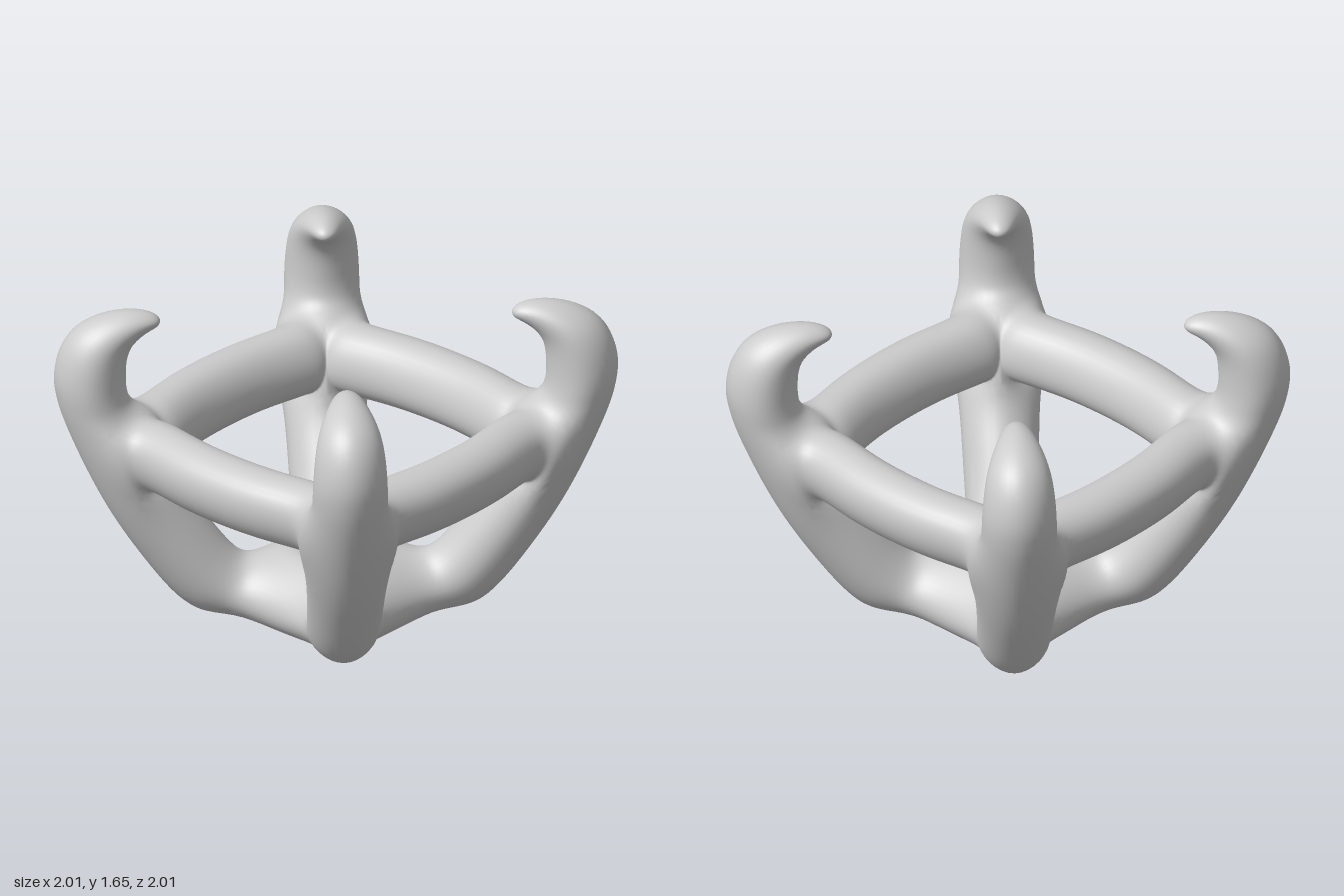
import * as THREE from 'three';

// Prong cross-sections from the base to the tip, in the diagonal plane x = z:
// [outer d, outer y, inner d, inner y, half width across]
const SECTIONS = [
  [0.38, -0.035, 0.23, 0.38, 0.25],
  [0.54, -0.05, 0.29, 0.38, 0.26],
  [0.715, 0.28, 0.385, 0.58, 0.275],
  [0.855, 0.60, 0.505, 0.78, 0.295],
  [0.985, 1.03, 0.62, 1.13, 0.27],
  [1.01, 1.18, 0.655, 1.20, 0.27],
  [1.03, 1.34, 0.655, 1.29, 0.265],
  [0.96, 1.60, 0.66, 1.42, 0.235],
  [0.72, 1.69, 0.625, 1.50, 0.125],
  [0.585, 1.62, 0.60, 1.54, 0.055],
];
const BAR = 3; // bars leave the prongs between sections 3 and 4
const BAR_BOW = [[0.54, 0.695], [0.27, 0.757], [0, 0.77], [-0.27, 0.757], [-0.54, 0.695]];
const [OUTER, SIDE_A, INNER, SIDE_C] = [0, 1, 2, 3];

// Coarse quad cage; each face is { v: four vertex indices, part }
function buildCage() {
  const verts = [], faces = [];
  const add = (x, y, z, turn) => {
    for (let i = 0; i < turn; i++) [x, z] = [z, -x];
    return verts.push(new THREE.Vector3(x, y, z)) - 1;
  };
  const quad = (part, ...v) => faces.push({ part, v });
  const bridge = (part, r, s, skip = []) => {
    for (let i = 0; i < 4; i++) {
      const j = (i + 1) % 4;
      if (!skip.includes(i)) quad(part, r[i], r[j], s[j], s[i]);
    }
  };

  // Four prongs, leaving openings on the inner sides for the bars
  const prongs = [0, 1, 2, 3].map((turn) => {
    const rings = SECTIONS.map(([od, oy, id, iy, w]) => {
      const d = (od + id) / 2, y = (oy + iy) / 2, a = w * Math.SQRT1_2;
      return [
        add(od, oy, od, turn), add(d + a, y, d - a, turn),
        add(id, iy, id, turn), add(d - a, y, d + a, turn),
      ];
    });
    for (let k = 0; k + 1 < rings.length; k++) {
      bridge('prongs', rings[k], rings[k + 1], k === BAR ? [SIDE_A, INNER] : []);
    }
    quad('prongs', ...rings[rings.length - 1]);
    return rings;
  });

  // Flat middles of the base plate
  const top = prongs.map((_, turn) => add(0.15, 0.32, 0.15, turn));
  const under = prongs.map((_, turn) => add(0.15, 0.01, 0.15, turn));
  quad('base', ...top);
  quad('base', ...[...under].reverse());

  prongs.forEach((p, turn) => {
    const next = (turn + 1) % 4, n = prongs[next];

    // Bowed bar to the next prong, its section leaning outward at the top
    const opening = (rings, side) => [
      rings[BAR][side], rings[BAR][INNER], rings[BAR + 1][INNER], rings[BAR + 1][side],
    ];
    const lean = 0.3, c = Math.cos(lean), s = Math.sin(lean);
    const middle = BAR_BOW.map(([along, out]) =>
      [[1, -1], [-1, -1], [-1, 1], [1, 1]].map(([u, v]) =>
        add(out + 0.165 * u * c + 0.19 * v * s, 0.925 - 0.165 * u * s + 0.19 * v * c, along, turn)));
    const loops = [opening(p, SIDE_A), ...middle, opening(n, SIDE_C)];
    for (let k = 0; k + 1 < loops.length; k++) bridge('ringBars', loops[k], loops[k + 1]);

    // Underside, side and top of the base plate
    quad('base', n[0][OUTER], p[0][OUTER], under[turn], under[next]);
    quad('base', p[0][OUTER], n[0][OUTER], n[0][SIDE_C], p[0][SIDE_A]);
    quad('base', p[0][SIDE_A], n[0][SIDE_C], n[0][INNER], p[0][INNER]);
    quad('base', p[0][INNER], n[0][INNER], top[next], top[turn]);
  });
  return { verts, faces };
}

const average = (points) =>
  points.reduce((sum, p) => sum.add(p), new THREE.Vector3()).divideScalar(points.length);

// One Catmull-Clark smoothing step on a closed quad mesh
function subdivide({ verts, faces }) {
  const edges = new Map();
  const around = verts.map(() => ({ centres: [], mids: [] }));
  const key = (a, b) => (a < b ? `${a}_${b}` : `${b}_${a}`);
  const centres = faces.map(({ v }) => average(v.map((i) => verts[i])));

  faces.forEach(({ v }, f) => v.forEach((a, i) => {
    const b = v[(i + 1) % 4], k = key(a, b);
    around[a].centres.push(centres[f]);
    if (!edges.has(k)) {
      const mid = average([verts[a], verts[b]]);
      edges.set(k, { a, b, centres: [] });
      around[a].mids.push(mid);
      around[b].mids.push(mid);
    }
    edges.get(k).centres.push(centres[f]);
  }));

  const out = verts.map((p, i) => {
    const n = around[i].mids.length;
    return average(around[i].centres)
      .addScaledVector(average(around[i].mids), 2)
      .addScaledVector(p, n - 3)
      .divideScalar(n);
  });
  for (const e of edges.values()) {
    e.index = out.push(average([verts[e.a], verts[e.b], ...e.centres])) - 1;
  }
  const next = [];
  faces.forEach(({ v, part }, f) => {
    const centre = out.push(centres[f]) - 1;
    v.forEach((a, i) => {
      const after = edges.get(key(a, v[(i + 1) % 4])).index;
      const before = edges.get(key(v[(i + 3) % 4], a)).index;
      next.push({ part, v: [a, after, centre, before] });
    });
  });
  return { verts: out, faces: next };
}

export function createModel() {
  let cage = buildCage();
  for (let i = 0; i < 3; i++) cage = subdivide(cage);

  const triangles = (faces) => faces.flatMap(({ v: [a, b, c, d] }) => [a, b, c, a, c, d]);
  const whole = new THREE.BufferGeometry().setFromPoints(cage.verts);
  whole.setIndex(triangles(cage.faces));
  whole.computeVertexNormals();

  // Separate meshes that share normals across their seams
  const group = new THREE.Group();
  group.name = 'prongedCage';
  const material = new THREE.MeshStandardMaterial({ color: 0xcccccc });
  for (const part of ['base', 'prongs', 'ringBars']) {
    whole.setIndex(triangles(cage.faces.filter((f) => f.part === part)));
    const mesh = new THREE.Mesh(whole.toNonIndexed(), material);
    mesh.name = part;
    group.add(mesh);
  }
  return group;
}
